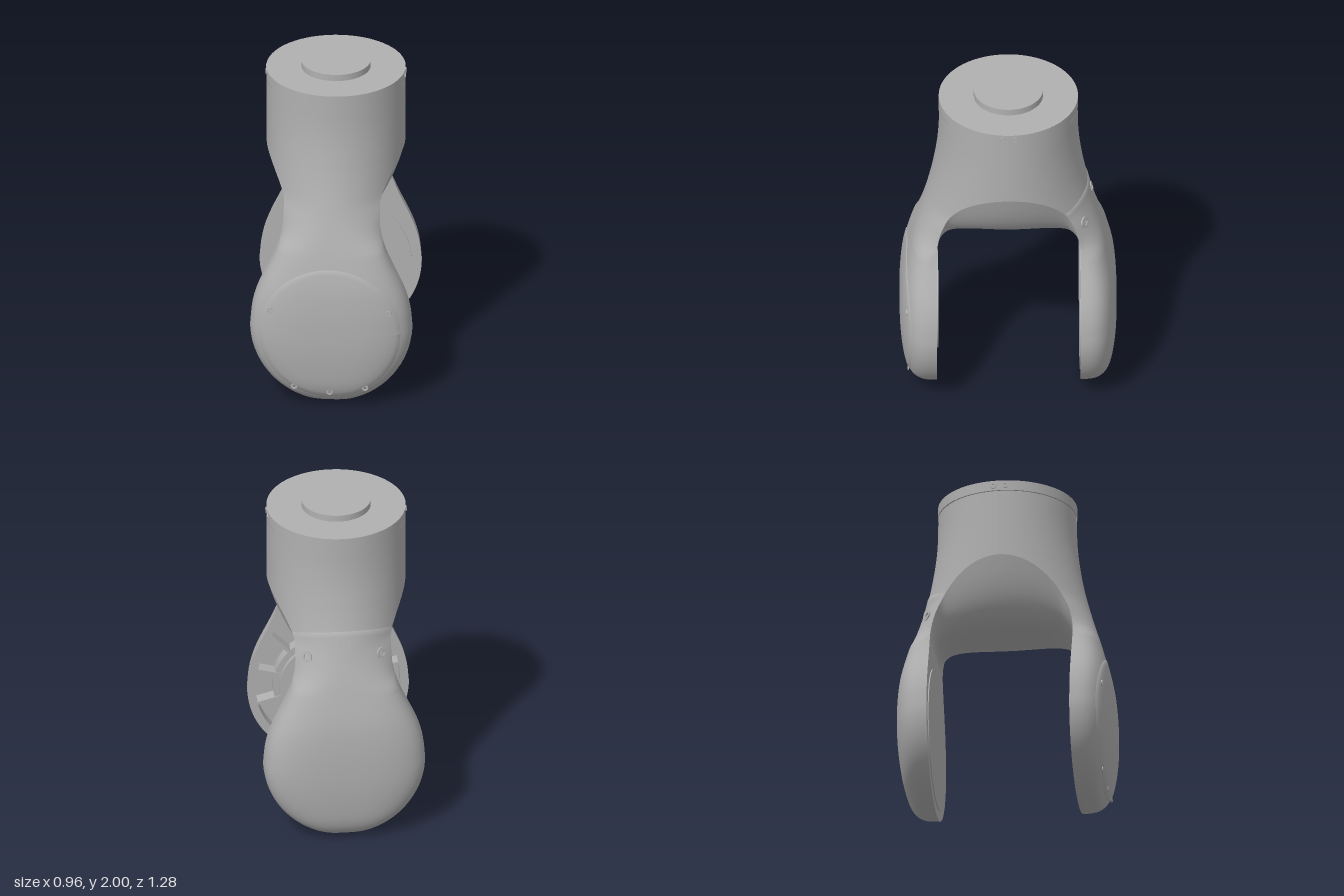
import * as THREE from 'three';

const metal = new THREE.MeshStandardMaterial({ color: 0xb0b0b0, side: THREE.DoubleSide });
metal.name = 'grey metal';

const R = 0.48;        // radius of the round arm ends, also their centre height
const INNER = 0.425;   // distance of the inner arm faces from the middle
const BODY = 0.41;     // body radius
const ARCH = 0.48;     // height of the arch sides above y = 1

// smooth interpolation through [position, value] pairs
function interp(table, p) {
  const last = table.length - 1;
  if (p <= table[0][0]) return table[0][1];
  if (p >= table[last][0]) return table[last][1];
  let i = 0;
  while (p > table[i + 1][0]) i++;
  const slope = (k) => {
    const a = table[Math.max(k - 1, 0)], b = table[Math.min(k + 1, last)];
    return (b[1] - a[1]) / (b[0] - a[0]);
  };
  const [x0, y0] = table[i], [x1, y1] = table[i + 1];
  const h = x1 - x0, t = (p - x0) / h, t2 = t * t, t3 = t2 * t;
  return y0 * (2 * t3 - 3 * t2 + 1) + slope(i) * h * (t3 - 2 * t2 + t)
    + y1 * (3 * t2 - 2 * t3) + slope(i + 1) * h * (t3 - t2);
}

const DEPTH = [[0, 0.44], [0.02, 0.525], [0.06, 0.57], [0.12, 0.6], [0.2, 0.618], [0.35, 0.635], [0.5, 0.64],
  [0.65, 0.636], [0.8, 0.62], [1, 0.572], [1.2, 0.512], [1.4, 0.46], [1.6, 0.425], [1.75, 0.412], [1.89, 0.41]];
const WIDTH = [[0.48, 0.48], [0.6, 0.468], [0.7, 0.443], [0.8, 0.402], [0.9, 0.355], [1, 0.315],
  [1.1, 0.29], [1.2, 0.285], [1.3, 0.285]];

const outerZ = (y) => interp(DEPTH, y);
const innerZ = (y) => y <= 1 ? INNER : INNER * Math.sqrt(Math.max(0, 1 - ((y - 1) / ARCH) ** 2));

function halfWidth(y) {
  if (y < R) return Math.sqrt(Math.max(0, R * R - (y - R) ** 2));
  const w = interp(WIDTH, y);
  return y < 1.1 ? w : Math.max(w, BODY * Math.sqrt(1 - (innerZ(y) / outerZ(y)) ** 2));
}

// outside surface of the front half
function surfaceZ(x, y) {
  const w = halfWidth(y), zi = innerZ(y);
  const full = w + (BODY - w) * THREE.MathUtils.smoothstep(y, 1, 1.25);
  const n = 3 - THREE.MathUtils.smoothstep(y, 0.9, 1.25);
  const curve = (v) => Math.pow(Math.max(0, 1 - Math.pow(Math.abs(v) / Math.max(full, 1e-6), n)), 1 / n);
  const edge = curve(w);
  if (edge > 0.9999) return zi;
  return zi + (outerZ(y) - zi) * Math.max(0, (curve(x) - edge) / (1 - edge));
}

// surface from a rule f(i, j) -> [x, y, z]
function grid(nu, nv, f) {
  const pos = [], idx = [];
  for (let j = 0; j <= nv; j++) for (let i = 0; i <= nu; i++) pos.push(...f(i, j));
  for (let j = 0; j < nv; j++) for (let i = 0; i < nu; i++) {
    const a = j * (nu + 1) + i, b = a + 1, c = a + nu + 1, d = c + 1;
    idx.push(a, b, d, a, d, c);
  }
  const g = new THREE.BufferGeometry();
  g.setAttribute('position', new THREE.Float32BufferAttribute(pos, 3));
  g.setIndex(idx);
  g.computeVertexNormals();
  return g;
}

function add(parent, name, geometry, x = 0, y = 0, z = 0) {
  const m = new THREE.Mesh(geometry, metal);
  m.name = name;
  m.position.set(x, y, z);
  parent.add(m);
  return m;
}

// arm outline moved inwards by an inset
const insetWidth = (y, inset) => y < R
  ? Math.sqrt(Math.max(0, (R - inset) ** 2 - (y - R) ** 2)) : halfWidth(y) - inset;

function outline(inset, top) {
  const side = [];
  for (let i = 0; i <= 24; i++) {
    const y = R - (R - inset) * Math.cos(i / 24 * Math.PI / 2);
    side.push(new THREE.Vector2(insetWidth(y, inset), y));
  }
  for (let i = 1; i <= 14; i++) {
    const y = R + (top - R) * i / 14;
    side.push(new THREE.Vector2(insetWidth(y, inset), y));
  }
  return side.concat(side.slice(1).reverse().map((p) => new THREE.Vector2(-p.x, p.y)));
}

function holed(outer, hole) {
  const s = new THREE.Shape(outer);
  if (hole) s.holes.push(new THREE.Path(hole));
  return s;
}

const extrude = (shape, depth) => new THREE.ExtrudeGeometry(shape, { depth, bevelEnabled: false, curveSegments: 40 });

function ring(r, hole, depth) {
  const s = new THREE.Shape().absarc(0, 0, r, 0, Math.PI * 2, false);
  s.holes.push(new THREE.Path().absarc(0, 0, hole, 0, Math.PI * 2, true));
  return extrude(s, depth);
}

export function createModel() {
  const model = new THREE.Group();
  model.name = 'forkJoint';

  // heights of the rows of the shell
  const rows = [];
  for (let i = 0; i < 22; i++) rows.push(R - R * Math.cos(i / 22 * Math.PI / 2));
  for (let i = 0; i < 16; i++) rows.push(R + (1 - R) * i / 16);
  for (let i = 0; i <= 20; i++) rows.push(1 + ARCH * Math.sin(i / 20 * Math.PI / 2));
  for (let i = 1; i <= 8; i++) rows.push(1 + ARCH + (0.89 - ARCH) * i / 8);

  // front and back halves of body and arm
  const shell = grid(48, rows.length - 1, (i, j) => {
    const y = rows[j], x = halfWidth(y) * Math.sin((i / 24 - 1) * Math.PI / 2);
    return [x, y, i === 0 || i === 48 ? innerZ(y) : surfaceZ(x, y)];
  });
  add(model, 'frontShell', shell);
  add(model, 'backShell', shell).rotation.y = Math.PI;

  // flared underside of the arch
  add(model, 'archUnderside', grid(32, 40, (i, j) => {
    const phi = Math.PI * (1 - j / 40), t = i / 16 - 1, c = Math.cos(phi);
    const edge = 1 + ARCH * Math.sin(phi), low = 1 + 0.11 * Math.sqrt(Math.max(0, 1 - c ** 4));
    return [halfWidth(edge) * t, low + (edge - low) * t ** 4, INNER * c];
  }));

  // top collar, seam and boss
  add(model, 'collarSeam', new THREE.CylinderGeometry(0.403, 0.403, 0.02, 72), 0, 1.89, 0);
  add(model, 'collar', new THREE.CylinderGeometry(0.412, 0.412, 0.063, 72), 0, 1.9285, 0);
  add(model, 'topBoss', new THREE.CylinderGeometry(0.205, 0.205, 0.04, 56), 0, 1.98, 0);
  add(model, 'indexMark', new THREE.BoxGeometry(0.006, 0.035, 0.006), 0, 1.87, 0.41);
  for (const s of [1, -1]) for (const z of [-0.035, 0.035])
    add(model, 'collarScrew', ring(0.018, 0.009, 0.008), s * 0.407, 1.928, z).rotation.y = s * Math.PI / 2;

  // front lid following the shell
  add(model, 'frontLid', grid(72, 15, (i, j) => {
    const a = i / 72 * Math.PI * 2, r = 0.418 * Math.min(1, (15 - j) / 14);
    const x = r * Math.cos(a), y = 0.487 + r * Math.sin(a);
    return [x, y, surfaceZ(x, y) + (j === 0 ? -0.01 : 0.004)];
  }));
  for (const [x, y] of [[0.35, 0.632], [-0.35, 0.632], [0.21, 0.135], [-0.21, 0.135], [0, 0.105]])
    add(model, 'lidScrew', ring(0.019, 0.009, 0.008), x, y, surfaceZ(x, y));

  // back cover edge with its screws
  const back = new THREE.Group();
  back.name = 'backCover';
  back.rotation.y = Math.PI;
  model.add(back);
  add(back, 'coverPanel', grid(32, 14, (i, j) => {
    const t = i / 16 - 1, y = 0.95 + (0.35 + 0.06 * (1 - t * t)) * Math.min(j, 13) / 13;
    const x = 0.985 * halfWidth(y) * t;
    return [x, y, surfaceZ(x, y) + (j === 14 ? -0.008 : 0.001 + 0.004 * j / 13)];
  }));
  for (const x of [-0.22, 0, 0.22]) {
    const y = x ? 1.19 : 1.29;
    const screw = add(back, 'coverScrew', ring(0.034, 0.018, 0.01), x, y, surfaceZ(x, y) - 0.001);
    screw.rotation.set(-0.26, x * 2.6, 0);
  }

  // closed inner face of the back arm
  add(model, 'backInnerFace', new THREE.ShapeGeometry(holed(outline(0, 1))), 0, 0, -INNER);
  add(model, 'backInnerDisc', new THREE.CylinderGeometry(0.42, 0.42, 0.012, 72), 0, R, -INNER).rotation.x = Math.PI / 2;

  // ribbed pocket inside the front arm
  const pocket = outline(0.05, 0.95), floor = 0.52;
  add(model, 'pocketRim', new THREE.ShapeGeometry(holed(outline(0, 1), pocket)), 0, 0, INNER);
  add(model, 'pocketWall', extrude(holed(outline(0.04, 0.96), pocket), floor - INNER), 0, 0, INNER + 0.001);
  add(model, 'pocketFloor', new THREE.ShapeGeometry(holed(outline(0.045, 0.955))), 0, 0, floor);
  add(model, 'hubRing', ring(0.29, 0.2, floor - 0.415), 0, R, 0.415);
  add(model, 'hubStep', ring(0.325, 0.28, floor - 0.445), 0, R, 0.445);
  add(model, 'hubFloor', new THREE.CylinderGeometry(0.205, 0.205, 0.03, 56), 0, R, 0.495).rotation.x = Math.PI / 2;
  add(model, 'pocketBridge', new THREE.BoxGeometry(0.18, 0.22, 0.092), 0, 0.86, 0.473);
  for (let k = 0; k < 12; k++) {
    const a = (k * 30 + 15) * Math.PI / 180;
    let r = 0.31;
    while (r < 0.5 && R + r * Math.sin(a) < 0.95
      && Math.abs(r * Math.cos(a)) < insetWidth(R + r * Math.sin(a), 0.047)) r += 0.004;
    const mid = (0.29 + r) / 2;
    add(model, 'pocketRib', new THREE.BoxGeometry(r - 0.29, 0.02, floor - 0.44),
      mid * Math.cos(a), R + mid * Math.sin(a), (floor + 0.44) / 2).rotation.z = a;
  }
  return model;
}
